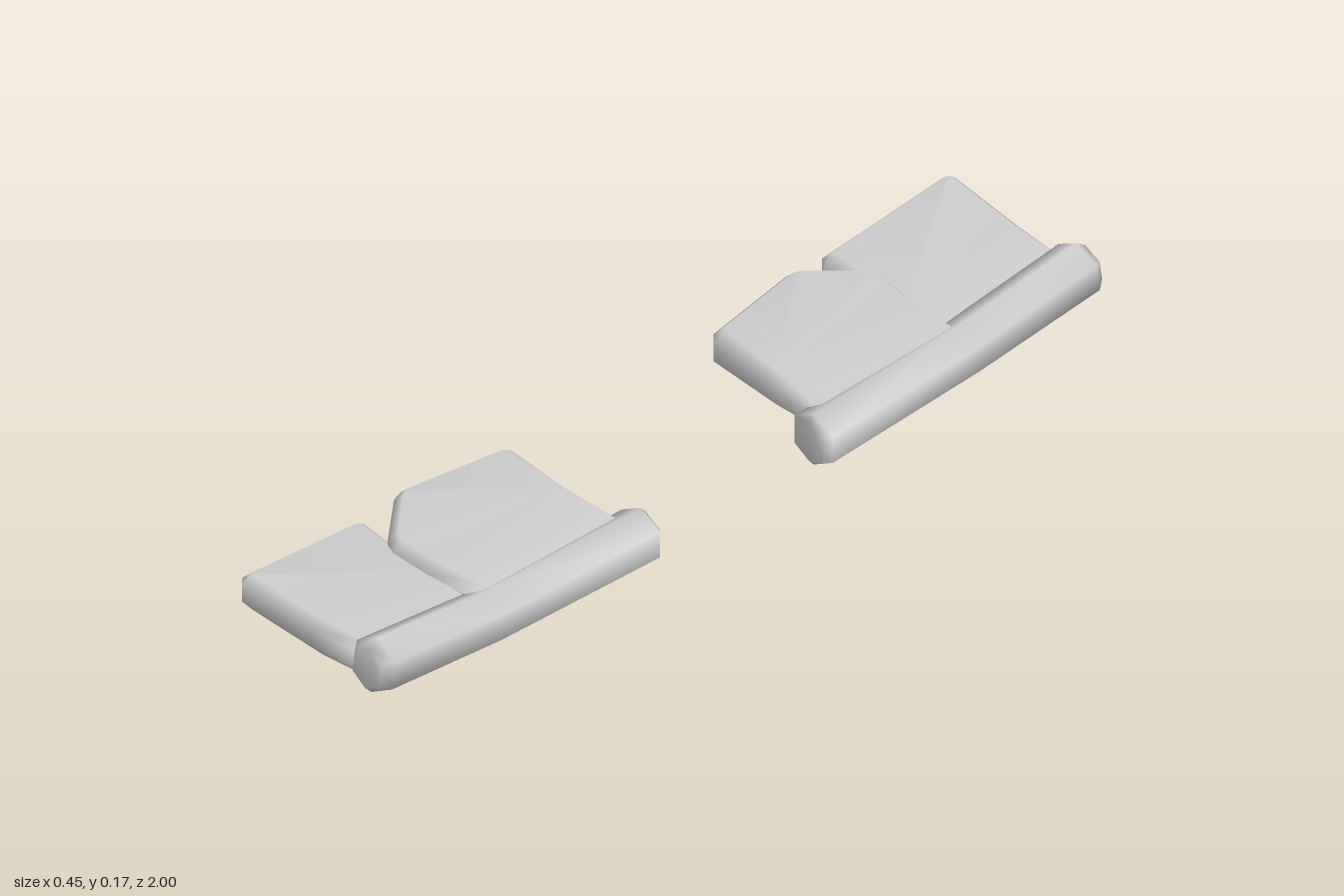
import * as THREE from 'three';

const material = new THREE.MeshStandardMaterial({ color: 0xcccccc });

// Skin a stack of equal rings and close both ends with convex caps.
// side = -1 mirrors the part to the back half and flips the winding.
function loft(name, rings, caps, side) {
  const n = rings[0].length, last = (rings.length - 1) * n;
  const positions = [], index = [];
  const tri = (a, b, c) => index.push(...(side > 0 ? [a, b, c] : [a, c, b]));
  for (const ring of rings) for (const [x, y, z] of ring) positions.push(x, y, z * side);
  for (let k = 0; k < rings.length - 1; k++) {
    for (let i = 0; i < n; i++) {
      const j = (i + 1) % n, a = k * n, b = a + n;
      tri(a + i, a + j, b + j);
      tri(a + i, b + j, b + i);
    }
  }
  for (const cap of caps) {
    for (let i = 1; i < cap.length - 1; i++) {
      tri(cap[0], cap[i + 1], cap[i]);
      tri(last + cap[0], last + cap[i], last + cap[i + 1]);
    }
  }
  const geometry = new THREE.BufferGeometry();
  geometry.setAttribute('position', new THREE.Float32BufferAttribute(positions, 3));
  geometry.setIndex(index);
  geometry.computeVertexNormals();
  const mesh = new THREE.Mesh(geometry, material);
  mesh.name = name;
  return mesh;
}

// Move every edge of a convex outline inwards by d
function inset(outline, d) {
  const n = outline.length;
  return outline.map(([x, z], i) => {
    const p = outline[(i + n - 1) % n], q = outline[(i + 1) % n];
    const u = new THREE.Vector2(x - p[0], z - p[1]).normalize();
    const v = new THREE.Vector2(q[0] - x, q[1] - z).normalize();
    const k = d / (1 + u.dot(v));
    return [x + (u.y + v.y) * k, z - (u.x + v.x) * k];
  });
}

// Bevelled plate whose outer half (x < 0) bends upwards
function plate(name, outline, base, slope, dx, side) {
  const profile = [[0, 0.02], [0.022, 0], [0.063, 0], [0.085, 0.02]];
  const rings = profile.map(([h, d]) => inset(outline, d).map(([x, z]) =>
    [x + dx, base + h + 0.09 * Math.max(0, -x) + slope * (z - 0.64), z]));
  const ids = outline.map((_, i) => i);
  const caps = [ids.filter(i => outline[i][0] >= 0), ids.filter(i => outline[i][0] <= 0)];
  return loft(name, rings, caps, side);
}

// Six-sided bent bar: [x, y, z, radius, tilt of the section in z]
function bar(dx, side) {
  const stations = [
    [0.163, 0.063, 0.222, 0.047, 0],
    [0.163, 0.063, 0.235, 0.062, 0],
    [0.147, 0.063, 0.655, 0.06, -0.07],
    [0.162, 0.112, 0.973, 0.062, -0.14],
    [0.163, 0.114, 0.994, 0.045, -0.14],
  ];
  const rings = stations.map(([x, y, z, r, tilt]) =>
    Array.from({ length: 6 }, (_, i) => {
      const a = Math.PI / 2 + i * Math.PI / 3;
      const h = Math.sin(a) * r;
      return [x + dx + Math.cos(a) * r, y + h, z + h * tilt];
    }));
  return loft('bentBar', rings, [[0, 1, 2, 3, 4, 5]], side);
}

// Outlines as x, z; the points on x = 0 carry the bend
const outerOutline = [
  [0.15, 0.65], [0, 0.642], [-0.2, 0.63], [-0.225, 0.65],
  [-0.212, 0.972], [-0.195, 0.99], [0, 0.98], [0.15, 0.967],
];
const innerOutline = [
  [0.15, 0.272], [0, 0.271], [-0.155, 0.27], [-0.178, 0.293], [-0.214, 0.53],
  [-0.206, 0.557], [-0.118, 0.662], [-0.09, 0.673], [0, 0.668], [0.15, 0.659],
];

export function createModel() {
  const model = new THREE.Group();
  model.name = 'platePair';
  for (const side of [1, -1]) {
    const half = new THREE.Group();
    half.name = side > 0 ? 'frontHalf' : 'backHalf';
    const dx = side > 0 ? 0 : 0.01;
    half.add(
      bar(dx, side),
      plate('outerPlate', outerOutline, 0.008, 0.13, 0, side),
      plate('innerPlate', innerOutline, 0.037, 0, dx, side),
    );
    model.add(half);
  }
  return model;
}
